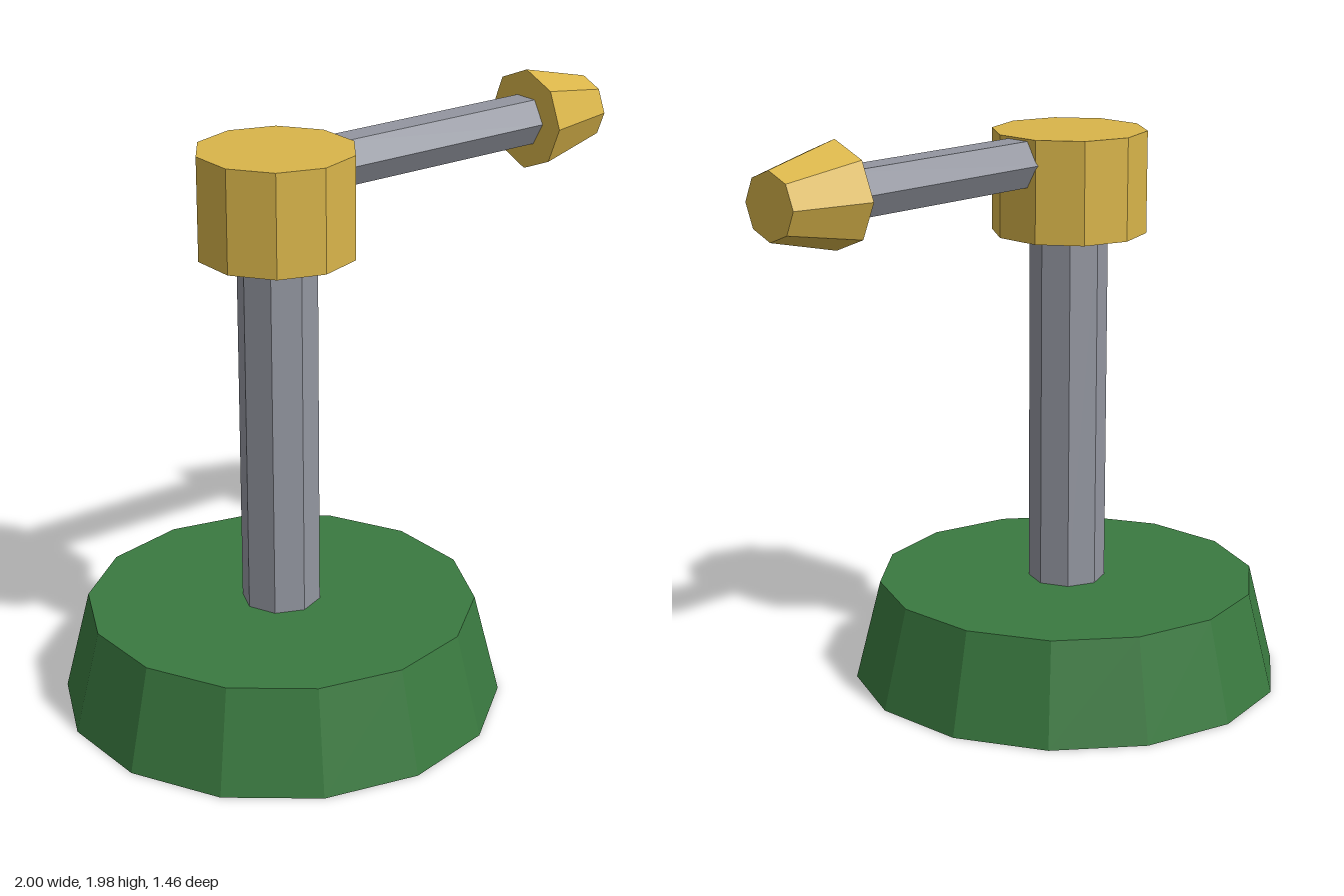
import * as THREE from 'three';

const material = (name, color) => {
  const m = new THREE.MeshStandardMaterial({ color, flatShading: true });
  m.name = name;
  return m;
};

export function createModel() {
  const green = material('green', 0x3a7a40);
  const grey = material('grey', 0x9396a0);
  const gold = material('gold', 0xd9b54a);

  const model = new THREE.Group();
  model.name = 'waterCrane';
  const postX = -0.29;
  const armY = 1.807;

  // Upright faceted cylinder between two heights
  const upright = (name, rTop, rBottom, y0, y1, sides, mat) => {
    const mesh = new THREE.Mesh(new THREE.CylinderGeometry(rTop, rBottom, y1 - y0, sides), mat);
    mesh.name = name;
    mesh.position.set(postX, (y0 + y1) / 2, 0);
    model.add(mesh);
  };

  // Faceted cylinder lying along x
  const lying = (name, rEnd, rStart, x0, x1, sides, mat) => {
    const geometry = new THREE.CylinderGeometry(rEnd, rStart, x1 - x0, sides).rotateZ(-Math.PI / 2);
    const mesh = new THREE.Mesh(geometry, mat);
    mesh.name = name;
    mesh.position.set((x0 + x1) / 2, armY, 0);
    model.add(mesh);
  };

  // Base, post and swivel head
  upright('base', 0.645, 0.73, 0, 0.343, 14, green);
  upright('post', 0.13, 0.13, 0.34, 1.56, 8, grey);
  upright('head', 0.258, 0.258, 1.55, 1.89, 10, gold);

  // Side arm and its tapering nozzle
  lying('arm', 0.087, 0.087, -0.07, 0.75, 6, grey);
  lying('nozzle', 0.108, 0.17, 0.74, 1, 8, gold);

  return model;
}
